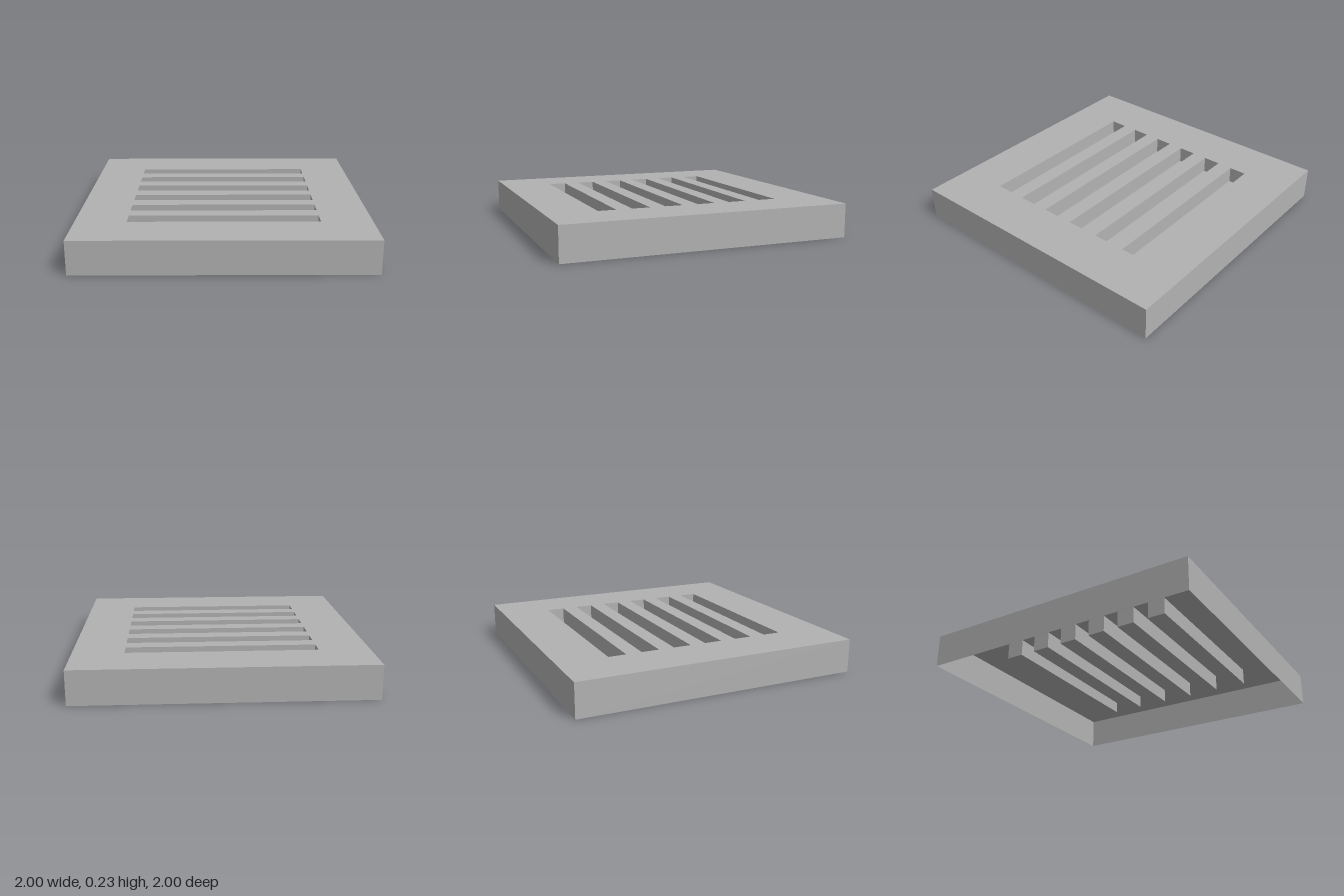
import * as THREE from 'three';

const HEIGHT = 0.235, PITCH = 0.235;
const SLOT = { count: 6, length: 1.3, width: 0.125, depth: 0.118 };

// Thin box skin with some sides left out (side order: +x, -x, +y, -y, +z, -z)
function openBox(w, h, d, omitted) {
  const geometry = new THREE.BoxGeometry(w, h, d);
  const index = Array.from(geometry.index.array);
  geometry.setIndex(index.filter((_, i) => !omitted.includes(Math.floor(i / 6))));
  geometry.clearGroups();
  return geometry;
}

// Corner points of a rectangle centred on (0, cy)
function rectangle(w, h, cy = 0) {
  return [[-1, -1], [1, -1], [1, 1], [-1, 1]].map(
    ([x, y]) => new THREE.Vector2(x * w / 2, cy + y * h / 2));
}

export function createModel() {
  const group = new THREE.Group();
  group.name = 'slottedCover';
  const grey = new THREE.MeshStandardMaterial({ color: 0xb2b2b2, side: THREE.DoubleSide });
  grey.name = 'grey';

  const add = (name, geometry, x, y, z) => {
    const mesh = new THREE.Mesh(geometry, grey);
    mesh.name = name;
    mesh.position.set(x, y, z);
    group.add(mesh);
    return mesh;
  };

  // Outer walls, open above and below
  add('outerWalls', openBox(2, HEIGHT, 2, [2, 3]), 0, HEIGHT / 2, 0);

  // Top panel with a row of slots, each leading into a closed trough
  const panel = new THREE.Shape(rectangle(2, 2));
  for (let i = 0; i < SLOT.count; i++) {
    const z = (i - (SLOT.count - 1) / 2) * PITCH;
    panel.holes.push(new THREE.Path(rectangle(SLOT.length, SLOT.width, -z).reverse()));
    add('slotTrough', openBox(SLOT.length, SLOT.depth, SLOT.width, [2]),
      0, HEIGHT - SLOT.depth / 2, z);
  }
  add('topPanel', new THREE.ShapeGeometry(panel).rotateX(-Math.PI / 2), 0, HEIGHT, 0);

  return group;
}
